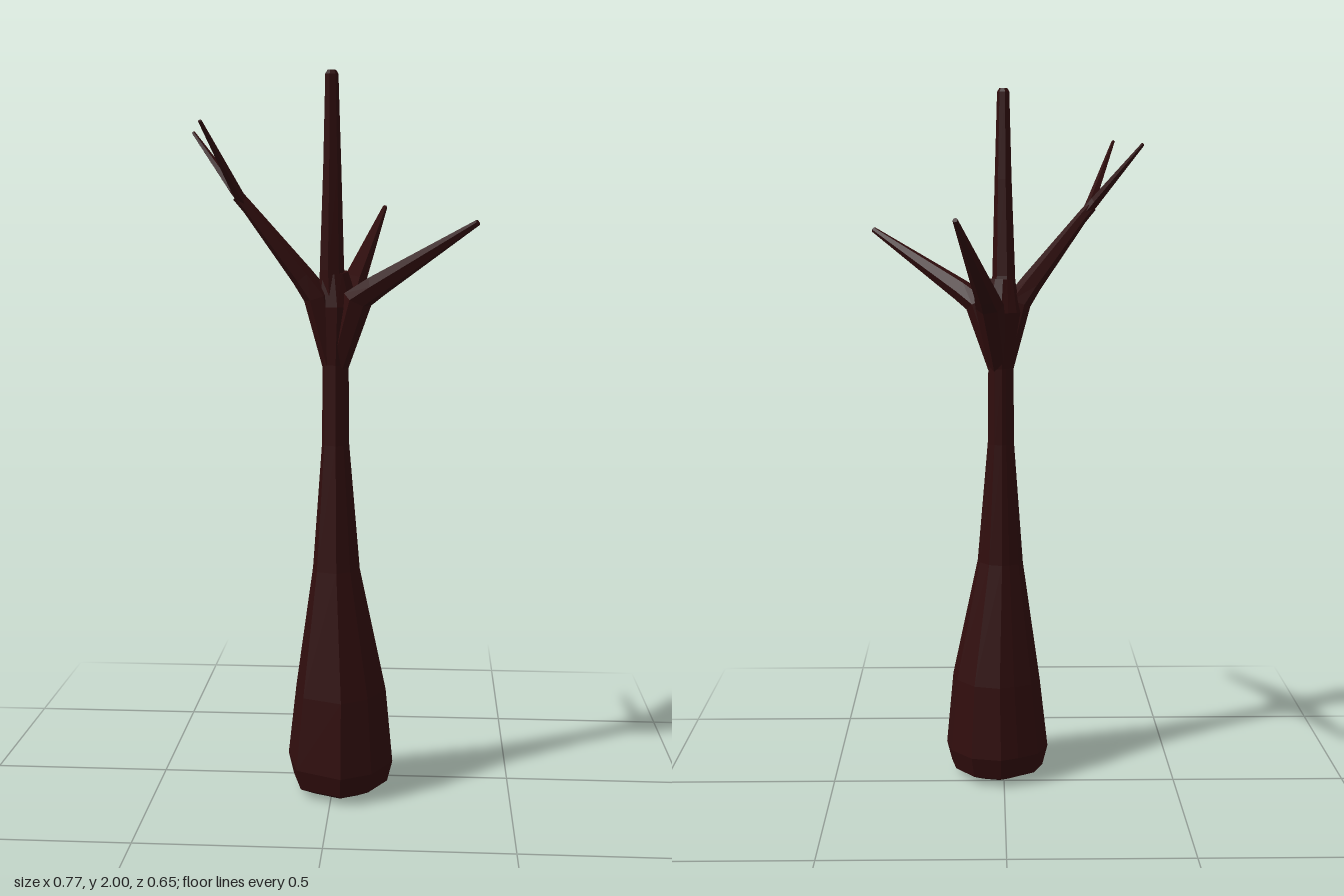
import * as THREE from 'three';

const UP = new THREE.Vector3(0, 1, 0);

// Regular ring of unit radius, as [x, z] pairs
const ring = (sides) => Array.from({ length: sides }, (_, i) => {
  const a = (i / sides) * Math.PI * 2;
  return [Math.cos(a), Math.sin(a)];
});

// Irregular trunk outline of about unit radius
const trunkOutline = [
  [1, 0.07], [0.63, 0.73], [0.07, 1.03], [-0.77, 0.67], [-1, -0.23],
  [-0.8, -0.67], [-0.4, -0.9], [-0.07, -1.03], [0.5, -0.9], [0.9, -0.43],
];

// Faceted limb: stations are [x, y, z, radius], each ring square to the path
function limb(stations, outline) {
  const pts = stations.map(([x, y, z]) => new THREE.Vector3(x, y, z));
  const last = pts.length - 1;
  const n = outline.length;
  const rings = pts.map((p, i) => {
    const dir = pts[Math.min(i + 1, last)].clone().sub(pts[Math.max(i - 1, 0)]).normalize();
    const q = new THREE.Quaternion().setFromUnitVectors(UP, dir);
    const r = stations[i][3];
    return outline.map(([u, v]) => new THREE.Vector3(u * r, 0, v * r).applyQuaternion(q).add(p));
  });
  const tris = [];
  for (let j = 0; j < n; j++) {
    const k = (j + 1) % n;
    for (let i = 0; i < last; i++) {
      const [a, b, c, d] = [rings[i][j], rings[i][k], rings[i + 1][j], rings[i + 1][k]];
      tris.push(a, c, b, b, c, d);
    }
    tris.push(pts[0], rings[0][j], rings[0][k]);
    tris.push(pts[last], rings[last][k], rings[last][j]);
  }
  const geo = new THREE.BufferGeometry().setFromPoints(tris);
  geo.computeVertexNormals();
  return geo;
}

export function createModel() {
  const bark = new THREE.MeshStandardMaterial({ color: 0x300d0d, flatShading: true });
  bark.name = 'dark bark';
  const tree = new THREE.Group();
  tree.name = 'bareTree';
  const add = (name, stations, outline) => {
    const mesh = new THREE.Mesh(limb(stations, outline), bark);
    mesh.name = name;
    tree.add(mesh);
  };

  // Swollen trunk narrowing to a slim neck, then the crown
  add('trunk', [
    [0.02, 0.005, 0.09, 0.085], [0.02, 0.03, 0.09, 0.135], [0.02, 0.09, 0.09, 0.15],
    [0.022, 0.3, 0.095, 0.128], [0.01, 0.65, 0.1, 0.066], [0.008, 1.0, 0.1, 0.038],
    [0.008, 1.22, 0.1, 0.036], [0.012, 1.38, 0.095, 0.06], [0.005, 1.47, 0.105, 0.038],
  ], trunkOutline);

  // Upright leader
  add('leader', [
    [0.005, 1.38, 0.1, 0.045], [-0.002, 1.48, 0.112, 0.034],
    [0, 1.75, 0.124, 0.025], [0, 1.99, 0.135, 0.018], [0, 2.0, 0.135, 0.012],
  ], ring(7));

  // Three main boughs rising out of the neck
  add('leftBough', [
    [0.01, 1.2, 0.1, 0.028], [0.07, 1.4, 0.138, 0.04], [0.12, 1.435, 0.165, 0.032],
    [0.383, 1.605, 0.315, 0.008],
  ], ring(6));
  add('backBough', [
    [0.01, 1.2, 0.1, 0.028], [0.04, 1.4, 0.03, 0.04], [0.05, 1.435, -0.02, 0.033],
    [0.128, 1.648, -0.32, 0.007],
  ], ring(6));
  add('rightBough', [
    [0.005, 1.2, 0.1, 0.028], [-0.04, 1.405, 0.113, 0.038], [-0.08, 1.46, 0.12, 0.031],
    [-0.22, 1.64, 0.145, 0.017], [-0.25, 1.675, 0.15, 0.016],
  ], ring(6));

  // Forked twigs at the end of the right bough
  for (const [name, x, y, z] of [['backTwig', -0.383, 1.845, 0.045], ['frontTwig', -0.324, 1.86, 0.305]]) {
    add(name, [
      [-0.235, 1.655, 0.148, 0.014],
      [-0.24 + (x + 0.24) * 0.15, 1.69, 0.15 + (z - 0.15) * 0.1, 0.014],
      [x, y, z, 0.005],
    ], ring(5));
  }
  return tree;
}
